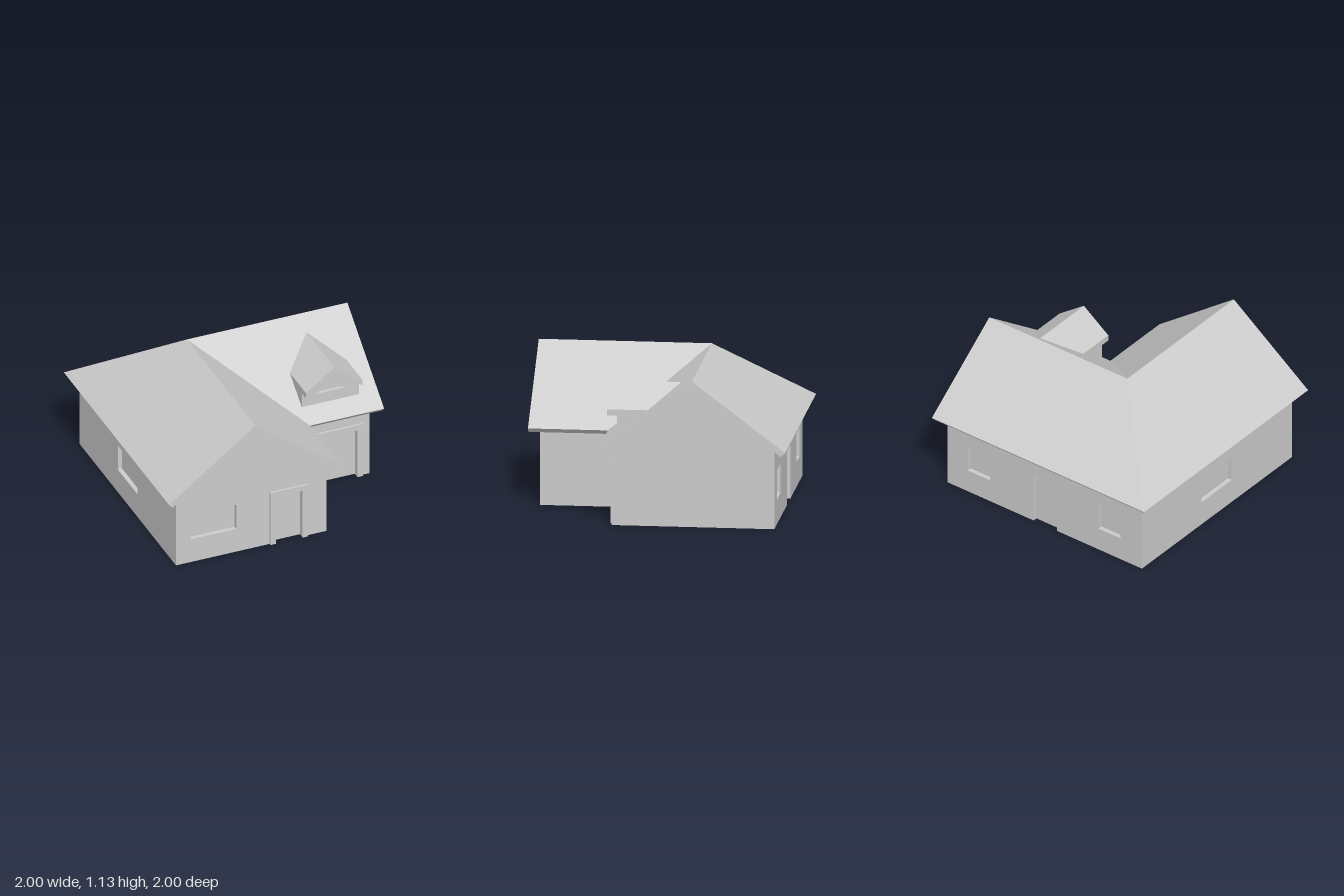
import * as THREE from 'three';

const T = 0.05;        // wall thickness
const RECESS = 0.035;  // depth of windows and doors
const mat = new THREE.MeshStandardMaterial({ color: 0xcccccc, flatShading: true });

const toShape = (pts) => new THREE.Shape(pts.map(([x, y]) => new THREE.Vector2(x, y)));

// Extrudes an outline from z0 to z1
function slab(name, pts, z0, z1, hole) {
  const shape = toShape(pts);
  if (hole) shape.holes.push(toShape(hole));
  const geo = new THREE.ExtrudeGeometry(shape, { depth: z1 - z0, bevelEnabled: false });
  geo.translate(0, 0, z0);
  const mesh = new THREE.Mesh(geo, mat);
  mesh.name = name;
  return mesh;
}

const rect = ([u0, u1, y0, y1]) => [[u0, y0], [u1, y0], [u1, y1], [u0, y1]];

// A wall facing local +z at distance d; door = [u0, u1, height], windows = [u0, u1, y0, y1]
function wall(name, { turn, d, from, to, peak, door, frame, windows = [] }) {
  const group = new THREE.Group();
  group.name = name;
  group.rotation.y = turn;

  const pts = [[from, 0]];
  if (door) pts.push([door[0], 0], [door[0], door[2]], [door[1], door[2]], [door[1], 0]);
  pts.push([to, 0], [to, 0.615]);
  if (peak !== undefined) pts.push([peak, 1.075]);
  pts.push([from, 0.615]);

  const shape = toShape(pts);
  windows.forEach((w) => shape.holes.push(toShape(rect(w))));
  const geo = new THREE.ExtrudeGeometry(shape, { depth: T, bevelEnabled: false });
  geo.translate(0, 0, d - T);
  const panel = new THREE.Mesh(geo, mat);
  panel.name = 'wallPanel';
  group.add(panel);

  windows.forEach((w) => group.add(slab('windowPane', rect(w), d - T, d - RECESS)));
  if (door) {
    const [a, b, h] = door;
    group.add(slab('doorPanel', rect([a, b, 0, h]), d - T, d - RECESS));
    if (frame) {
      const f = 0.045;
      group.add(slab('doorFrame', [[a - f, 0], [a, 0], [a, h], [b, h], [b, 0],
        [b + f, 0], [b + f, h + f], [a - f, h + f]], d, d + 0.017));
    }
  }
  return group;
}

// L-shaped gable roof: one section swept along both ridges with a mitred corner
function mainRoof() {
  const section = [[-0.7, 0.603], [0, 1.13], [0.7, 0.603], [0.67, 0.57], [0, 1.075], [-0.67, 0.57]];
  const r = -0.3;
  const stations = [
    section.map(([o, y]) => [1, y, r + o]),
    section.map(([o, y]) => [r + o, y, r + o]),
    section.map(([o, y]) => [r + o, y, 1]),
  ];
  const pos = [];
  const quad = (a, b, c, e) => pos.push(...a, ...b, ...c, ...a, ...c, ...e);
  for (let k = 0; k < 2; k++) {
    for (let i = 0; i < 6; i++) {
      const j = (i + 1) % 6;
      quad(stations[k][i], stations[k + 1][i], stations[k + 1][j], stations[k][j]);
    }
  }
  // Gable ends
  for (const [a, b, c, e] of [[0, 1, 4, 5], [1, 2, 3, 4]]) {
    const [s, , t] = stations;
    quad(s[a], s[b], s[c], s[e]);
    quad(t[e], t[c], t[b], t[a]);
  }
  const geo = new THREE.BufferGeometry();
  geo.setAttribute('position', new THREE.Float32BufferAttribute(pos, 3));
  geo.computeVertexNormals();
  const mesh = new THREE.Mesh(geo, mat);
  mesh.name = 'mainRoof';
  return mesh;
}

// Small gabled dormer with a triangular window
function dormer() {
  const group = new THREE.Group();
  group.name = 'dormer';
  const c = 0.615, w = 0.23, back = -0.18;
  const body = [[c - w, 0.7], [c + w, 0.7], [c + w, 0.82], [c, 0.995], [c - w, 0.82]];
  const light = [[c - 0.118, 0.787], [c + 0.118, 0.787], [c, 0.878]];
  group.add(
    slab('dormerBody', body, back, 0.25),
    slab('dormerFront', body, 0.25, 0.28, light),
    slab('dormerRoof', [[c - w, 0.82], [c, 0.995], [c + w, 0.82],
      [c + w, 0.867], [c, 1.037], [c - w, 0.867]], back, 0.355),
  );
  return group;
}

export function createModel() {
  const house = new THREE.Group();
  house.name = 'house';
  const Q = Math.PI / 2;

  // Walls
  house.add(
    wall('frontGableWall', { turn: 0, d: 0.92, from: -0.91, to: 0.31, peak: -0.3,
      door: [-0.105, 0.11, 0.413], frame: true, windows: [[-0.79, -0.42, 0.2, 0.413]] }),
    wall('garageWall', { turn: 0, d: 0.31, from: 0.26, to: 0.92 - T,
      door: [0.42, 0.815, 0.413], frame: true }),
    wall('rightGableWall', { turn: Q, d: 0.92, from: -0.31, to: 0.91, peak: 0.3 }),
    wall('innerSideWall', { turn: Q, d: 0.31, from: -0.92 + T, to: -0.31 + T }),
    wall('backWall', { turn: 2 * Q, d: 0.91, from: -0.92 + T, to: 0.91,
      door: [-0.11, 0.11, 0.413], windows: [[-0.73, -0.52, 0.19, 0.413], [0.5, 0.71, 0.19, 0.413]] }),
    wall('leftWall', { turn: -Q, d: 0.91, from: -0.91 + T, to: 0.92 - T,
      windows: [[-0.185, 0.185, 0.2, 0.413]] }),
  );

  // Floor, inside the walls
  const floor = slab('floor', [[-0.86, 0.86], [0.87, 0.86], [0.87, -0.26],
    [0.26, -0.26], [0.26, -0.87], [-0.86, -0.87]], 0, 0.02);
  floor.rotation.x = -Q;
  house.add(floor, mainRoof(), dormer());
  return house;
}
